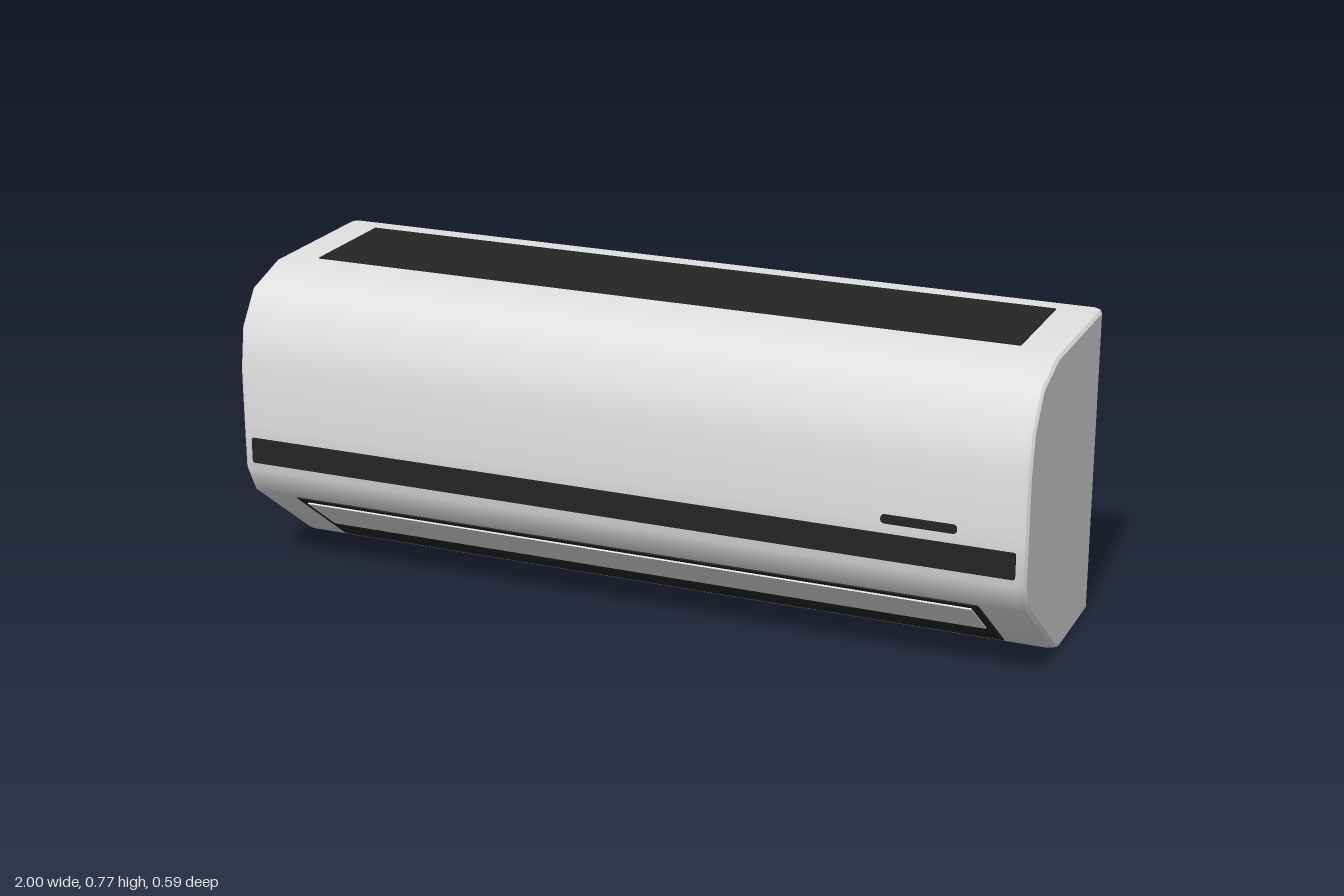
import * as THREE from 'three';
import { toCreasedNormals } from 'three/addons/utils/BufferGeometryUtils.js';

export function createModel() {
  const model = new THREE.Group();
  model.name = 'wallAirConditioner';

  const casing = new THREE.MeshStandardMaterial({ name: 'casing white', color: 0xe0e0e0 });
  const dark = new THREE.MeshStandardMaterial({ name: 'vent black', color: 0x252525 });

  const add = (name, geometry, material, parent = model) => {
    const mesh = new THREE.Mesh(geometry, material);
    mesh.name = name;
    parent.add(mesh);
    return mesh;
  };

  // Casing: side profile as [z, y], extruded along x with softened ends
  const profile = [
    [-0.293, 0], [-0.04, 0], [0, 0.015], [0.255, 0.21], [0.291, 0.28], [0.292, 0.4],
    [0.292, 0.54], [0.275, 0.645], [0.215, 0.73], [0.095, 0.768], [-0.293, 0.768],
  ];
  const shape = new THREE.Shape(profile.map(([z, y]) => new THREE.Vector2(z, y)));
  const bevel = 0.02;
  const body = new THREE.ExtrudeGeometry(shape, {
    depth: 2 - 2 * bevel,
    bevelThickness: bevel,
    bevelSize: 0.01,
    bevelOffset: -0.01,
    bevelSegments: 2,
  });
  body.translate(0, 0, -1 + bevel);
  body.rotateY(-Math.PI / 2);
  add('casing', toCreasedNormals(body, 0.65), casing);

  // Air intake on top
  add('topIntake', new THREE.BoxGeometry(1.8, 0.006, 0.295), dark).position.set(0, 0.768, -0.0925);

  // Thin plate with rounded corners, facing +z
  const plate = (w, h, r, t) => {
    const s = new THREE.Shape();
    const x = w / 2, y = h / 2;
    s.absarc(x - r, y - r, r, 0, Math.PI / 2);
    s.absarc(-x + r, y - r, r, Math.PI / 2, Math.PI);
    s.absarc(-x + r, -y + r, r, Math.PI, Math.PI * 1.5);
    s.absarc(x - r, -y + r, r, Math.PI * 1.5, Math.PI * 2);
    return new THREE.ExtrudeGeometry(s, { depth: t, bevelEnabled: false, curveSegments: 4 });
  };

  // Front trim strip and display window
  add('frontStrip', plate(1.95, 0.065, 0.006, 0.006), dark).position.set(0, 0.332, 0.289);
  add('display', plate(0.18, 0.022, 0.009, 0.006), dark).position.set(0.747, 0.4, 0.289);

  // Outlet on the sloping underside, with its louver flap
  const slope = Math.atan2(0.255, 0.195);
  const outlet = new THREE.Group();
  outlet.name = 'airOutlet';
  outlet.position.set(0, 0.115, 0.1308);
  outlet.rotation.x = slope;
  model.add(outlet);
  add('outletOpening', new THREE.BoxGeometry(1.76, 0.297, 0.006), dark, outlet);
  add('louver', new THREE.BoxGeometry(1.72, 0.165, 0.006), casing, outlet).position.set(0, 0.041, 0.004);

  return model;
}
